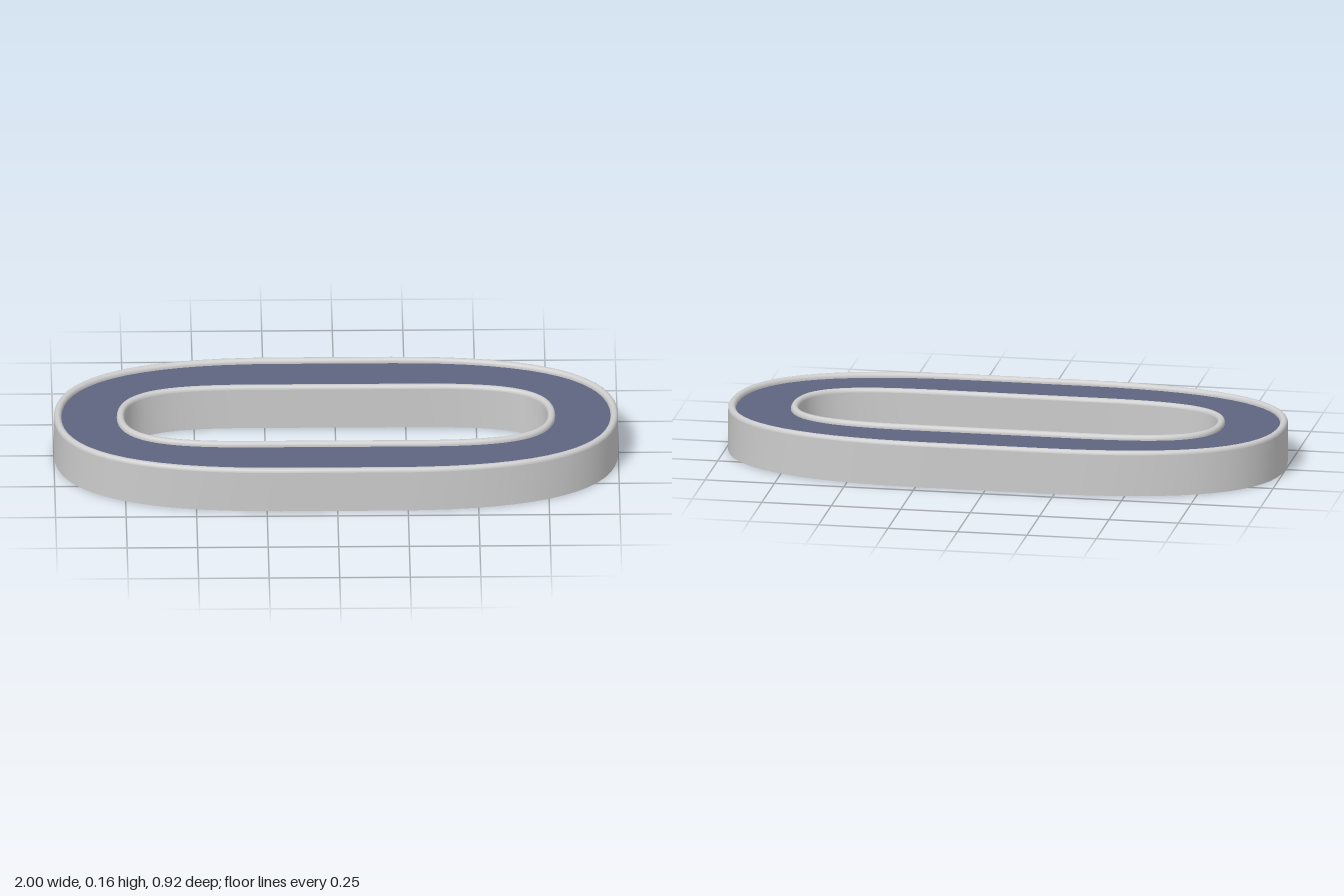
import * as THREE from 'three';

const TOP = 0.15;     // height where the walls meet the rounded rims
const BEAD = 0.0135;  // rim radius

// Closed rounded outline as {x, z, nx, nz}, running from +x towards +z.
function outline(halfX, halfZ, flatX, c1, c2, steps = 16) {
  const curve = new THREE.CubicBezierCurve(
    new THREE.Vector2(halfX, 0), new THREE.Vector2(halfX, c2),
    new THREE.Vector2(c1, halfZ), new THREE.Vector2(flatX, halfZ));
  const quarter = [];
  for (let i = 0; i <= steps; i++) {
    const p = curve.getPoint(i / steps), t = curve.getTangent(i / steps);
    quarter.push({ x: p.x, z: p.y, nx: t.y, nz: -t.x });
  }
  const mirror = (list, sx, sz) => list.map(p => ({ x: p.x * sx, z: p.z * sz, nx: p.nx * sx, nz: p.nz * sz }));
  const back = quarter.slice().reverse();
  return [
    ...quarter,
    ...mirror(back, -1, 1).slice(0, -1),
    ...mirror(quarter, -1, -1),
    ...mirror(back, 1, -1).slice(0, -1),
  ];
}

// Sweeps a profile of [outward offset, height] pairs round an outline.
function sweep(path, profile, inward) {
  const pos = [], index = [], n = path.length, m = profile.length;
  for (const p of path) {
    for (const [d, y] of profile) pos.push(p.x + p.nx * d, y, p.z + p.nz * d);
  }
  for (let i = 0; i < n; i++) {
    for (let j = 0; j < m - 1; j++) {
      const a = i * m + j, b = ((i + 1) % n) * m + j;
      if (inward) index.push(a, b, a + 1, b, b + 1, a + 1);
      else index.push(a, a + 1, b, b, a + 1, b + 1);
    }
  }
  const geo = new THREE.BufferGeometry();
  geo.setAttribute('position', new THREE.Float32BufferAttribute(pos, 3));
  geo.setIndex(index);
  geo.computeVertexNormals();
  return geo;
}

// Half-round rim section; side is the direction it leans away from its wall.
function beadProfile(side) {
  const pts = [];
  for (let i = 0; i <= 8; i++) {
    const a = Math.PI * i / 8;
    pts.push([side * BEAD * (1 - Math.cos(a)), TOP + BEAD * Math.sin(a)]);
  }
  pts.push([side * BEAD * 2, TOP - 0.005]);
  return pts;
}

export function createModel() {
  const group = new THREE.Group();
  const grey = new THREE.MeshStandardMaterial({ color: 0xcccccc, side: THREE.DoubleSide });
  const blue = new THREE.MeshStandardMaterial({ color: 0x5f6580, side: THREE.DoubleSide });
  const add = (name, geo, mat) => {
    const mesh = new THREE.Mesh(geo, mat);
    mesh.name = name;
    group.add(mesh);
    return mesh;
  };

  const outer = outline(1, 0.46, 0.2, 0.75, 0.3);
  const inner = outline(0.75, 0.215, 0.3, 0.63, 0.16);

  // Thin walls, open underneath
  add('outerWall', sweep(outer, [[0, 0], [0, TOP]], false), grey);
  add('innerWall', sweep(inner, [[0, 0], [0, TOP]], true), grey);

  // Rounded rims on both edges
  add('outerRim', sweep(outer, beadProfile(-1), false), grey);
  add('innerRim', sweep(inner, beadProfile(1), true), grey);

  // Flat deck between the rims
  const ring = (path, d) => path.map(p => new THREE.Vector2(p.x + p.nx * d, p.z + p.nz * d));
  const shape = new THREE.Shape(ring(outer, -BEAD * 2));
  shape.holes.push(new THREE.Path(ring(inner, BEAD * 2)));
  const deck = new THREE.ShapeGeometry(shape);
  deck.rotateX(-Math.PI / 2).translate(0, TOP - 0.004, 0);
  add('deck', deck, blue);

  return group;
}
